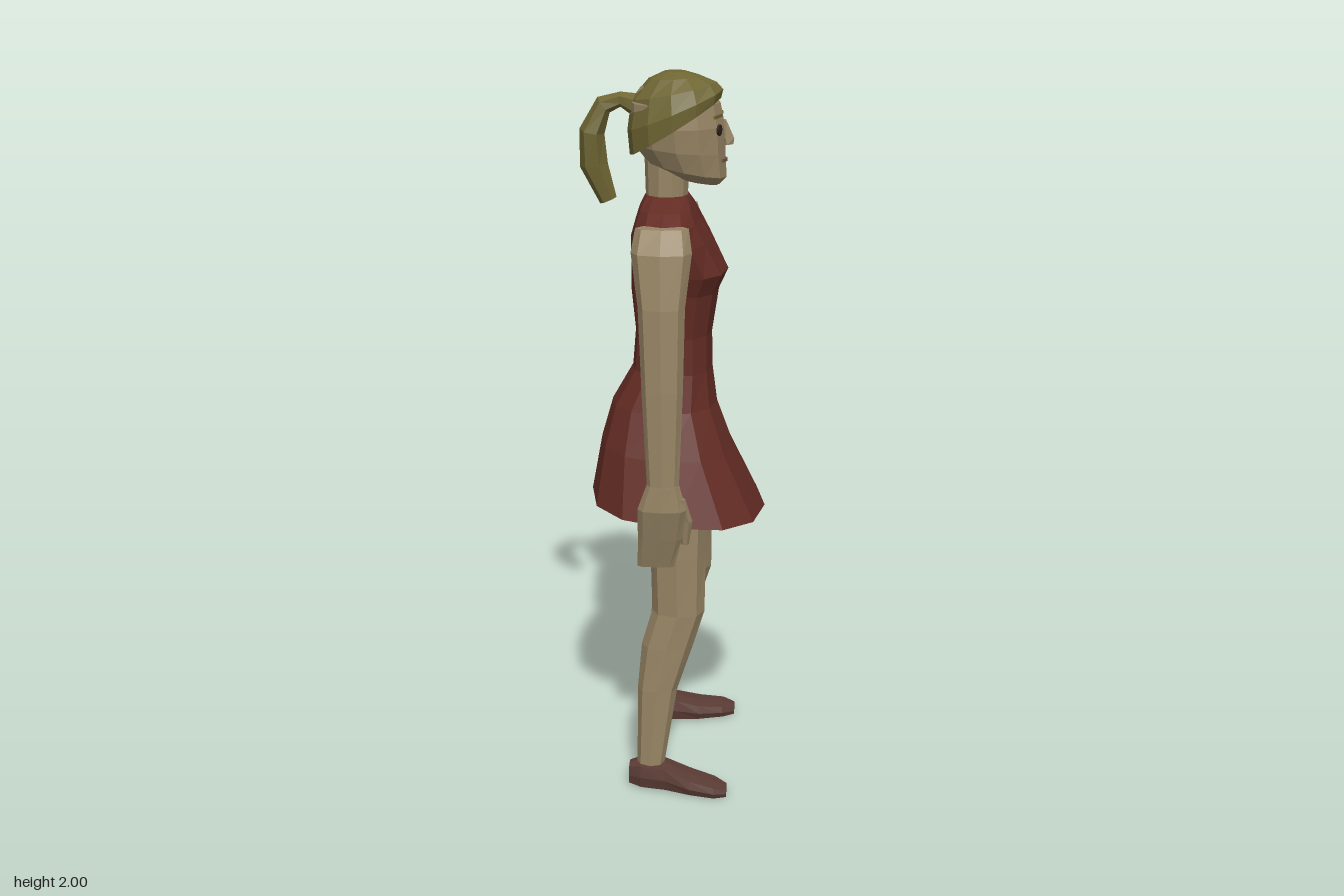
import * as THREE from 'three';

const mat = (name, color, side = THREE.FrontSide) => {
  const m = new THREE.MeshStandardMaterial({ color, side });
  m.name = name;
  return m;
};

// Faceted loft through rings [x, y, z, rx, rz, tilt], listed along their "up" direction.
// tilt turns a ring in the xy plane; p is the superellipse power (2 = round, 4 = boxy).
function loft(rings, n = 8, p = 2, caps = [true, true]) {
  const pow = (v) => Math.sign(v) * Math.abs(v) ** (2 / p);
  const point = ([x, y, z, rx, rz, tilt = 0], j) => {
    const a = (j / n) * Math.PI * 2;
    const u = rx * pow(Math.cos(a));
    return [x + u * Math.cos(tilt), y + u * Math.sin(tilt), z + rz * pow(Math.sin(a))];
  };
  const out = [];
  const tri = (...pts) => pts.forEach((q) => out.push(...q));
  for (let j = 0; j < n; j++) {
    for (let i = 0; i < rings.length - 1; i++) {
      const a = point(rings[i], j), b = point(rings[i], j + 1);
      const c = point(rings[i + 1], j), d = point(rings[i + 1], j + 1);
      tri(a, c, b);
      tri(b, c, d);
    }
    const first = rings[0], last = rings[rings.length - 1];
    if (caps[0]) tri(first.slice(0, 3), point(first, j), point(first, j + 1));
    if (caps[1]) tri(last.slice(0, 3), point(last, j + 1), point(last, j));
  }
  const g = new THREE.BufferGeometry();
  g.setAttribute('position', new THREE.Float32BufferAttribute(out, 3));
  g.computeVertexNormals();
  return g;
}

export function createModel() {
  const group = new THREE.Group();
  group.name = 'standingWoman';
  const skin = mat('skin', 0x968464);
  const hair = mat('hair', 0x6f6634);
  const cloth = mat('dressRed', 0x632c24, THREE.DoubleSide);
  const leather = mat('shoeBrown', 0x5b3c35);
  const dark = mat('eyeDark', 0x2e211a);
  const lip = mat('lip', 0x75553f);

  const add = (name, geometry, material) => {
    const m = new THREE.Mesh(geometry, material);
    m.name = name;
    group.add(m);
    return m;
  };

  // Dress, open at the hem
  add('dress', loft([
    [0.01, 0.81, 0, 0.245, 0.255, -0.08],
    [-0.02, 0.98, 0, 0.185, 0.2, -0.05],
    [-0.028, 1.1, 0, 0.145, 0.152],
    [-0.006, 1.2, 0, 0.11, 0.125],
    [-0.003, 1.3, 0, 0.105, 0.122],
    [0, 1.42, 0, 0.12, 0.14],
    [0.013, 1.475, 0, 0.132, 0.16],
    [-0.01, 1.56, 0, 0.11, 0.188],
    [-0.018, 1.61, 0, 0.088, 0.2],
    [-0.02, 1.645, 0, 0.075, 0.14],
    [-0.02, 1.675, 0, 0.06, 0.065],
  ], 12, 2.4, [false, true]), cloth);

  // Neck and head
  add('neck', loft([
    [-0.022, 1.62, 0, 0.055, 0.056],
    [-0.022, 1.78, 0, 0.06, 0.056],
  ], 10), skin);
  add('head', loft([
    [0.065, 1.712, 0, 0.055, 0.045, -0.15],
    [0.03, 1.745, 0, 0.11, 0.085, -0.2],
    [0.01, 1.8, 0, 0.125, 0.105, -0.1],
    [0.005, 1.86, 0, 0.127, 0.113],
    [0, 1.92, 0, 0.12, 0.106],
    [0, 1.96, 0, 0.09, 0.075],
    [0, 1.98, 0, 0.04, 0.04],
  ], 12), skin);
  add('nose', loft([
    [0.139, 1.81, 0, 0.016, 0.017],
    [0.135, 1.826, 0, 0.022, 0.014],
    [0.129, 1.875, 0, 0.006, 0.007],
  ], 4), skin);

  // Hair cap with a hairline sloping down to the back
  add('hairCap', loft([
    [0, 1.855, 0, 0.143, 0.117, 0.56],
    [0, 1.9, 0, 0.138, 0.12, 0.4],
    [-0.003, 1.95, 0, 0.115, 0.1, 0.2],
    [0, 1.985, 0, 0.07, 0.065, 0.05],
    [0, 2.0, 0, 0.03, 0.03],
  ], 12), hair);
  add('ponytail', loft([
    [-0.18, 1.655, 0, 0.024, 0.02, 0.4],
    [-0.218, 1.75, 0, 0.038, 0.04, 0.15],
    [-0.222, 1.84, 0, 0.034, 0.05, -0.2],
    [-0.19, 1.91, 0, 0.026, 0.034, -0.9],
    [-0.145, 1.925, 0, 0.02, 0.02, -1.57],
    [-0.09, 1.905, 0, 0.035, 0.036, -1.8],
  ], 6), hair);

  // Thin face details, mirrored and laid along the face facets
  const facePair = (name, material, x, y, z, w, h) => {
    for (const s of [1, -1]) {
      const m = add(name, new THREE.BoxGeometry(0.006, h, w), material);
      m.position.set(x, y, z * s);
      m.rotation.y = -0.3 * s;
    }
  };
  facePair('eyebrow', hair, 0.116, 1.89, 0.052, 0.05, 0.008);
  facePair('mouth', lip, 0.132, 1.77, 0.015, 0.032, 0.009);
  for (const s of [1, -1]) {
    const eye = add('eye', new THREE.CylinderGeometry(0.015, 0.015, 0.006, 8), dark);
    eye.position.set(0.12, 1.854, 0.048 * s);
    eye.rotation.set(0, -0.3 * s, -Math.PI / 2);
  }

  // Limbs: s = 1 is the +z side; the other arm swings slightly forward
  for (const s of [1, -1]) {
    const side = s > 0 ? 'left' : 'right';
    const mirror = (rings) => rings.map(([x, y, z, ...r]) => [x, y, z * s, ...r]);
    const swing = (rings) => rings.map(([x, y, z, ...r]) =>
      s > 0 ? [x, y, z, ...r] : [x + 0.085 * (1.6 - y), y, -0.95 * z, ...r]);

    add(side + 'Arm', loft(swing([
      [-0.012, 0.91, 0.268, 0.042, 0.023],
      [-0.015, 1.2, 0.25, 0.055, 0.037],
      [-0.018, 1.42, 0.235, 0.062, 0.041],
      [-0.02, 1.56, 0.208, 0.08, 0.046],
      [-0.02, 1.62, 0.185, 0.07, 0.03],
    ]), 8, 2.4), skin);
    add(side + 'Hand', loft(swing([
      [-0.035, 0.69, 0.232, 0.05, 0.009],
      [-0.022, 0.78, 0.25, 0.06, 0.019],
      [-0.015, 0.87, 0.268, 0.066, 0.027],
      [-0.012, 0.94, 0.267, 0.044, 0.024],
    ]), 8, 2.6), skin);
    add(side + 'Thumb', loft(swing([
      [0.045, 0.76, 0.235, 0.011, 0.011],
      [0.048, 0.83, 0.245, 0.018, 0.015],
      [0.028, 0.9, 0.262, 0.02, 0.018],
    ]), 6), skin);

    add(side + 'Leg', loft(mirror([
      [-0.055, 0.05, 0.207, 0.037, 0.028],
      [-0.035, 0.3, 0.187, 0.056, 0.04],
      [-0.008, 0.43, 0.175, 0.072, 0.046],
      [0.022, 0.53, 0.164, 0.073, 0.052],
      [0.02, 0.7, 0.148, 0.077, 0.068],
      [0.02, 0.86, 0.135, 0.083, 0.078],
    ]), 8, 2.2), skin);
    add(side + 'ShortsLeg', loft(mirror([
      [0.017, 0.81, 0.137, 0.09, 0.085],
      [-0.005, 1.05, 0.075, 0.095, 0.075],
    ]), 8, 2.2), cloth);

    // Shoe, lofted from heel to toe and turned outwards
    add(side + 'Shoe', loft(mirror([
      [-0.115, 0.035, 0.2, 0.03, 0.026],
      [-0.08, 0.039, 0.205, 0.039, 0.04],
      [-0.01, 0.037, 0.212, 0.037, 0.044],
      [0.06, 0.025, 0.228, 0.025, 0.049],
      [0.13, 0.019, 0.245, 0.019, 0.043],
      [0.165, 0.014, 0.25, 0.013, 0.024],
    ]).map((r) => [...r, -Math.PI / 2]), 8, 4), leather);
  }
  return group;
}
